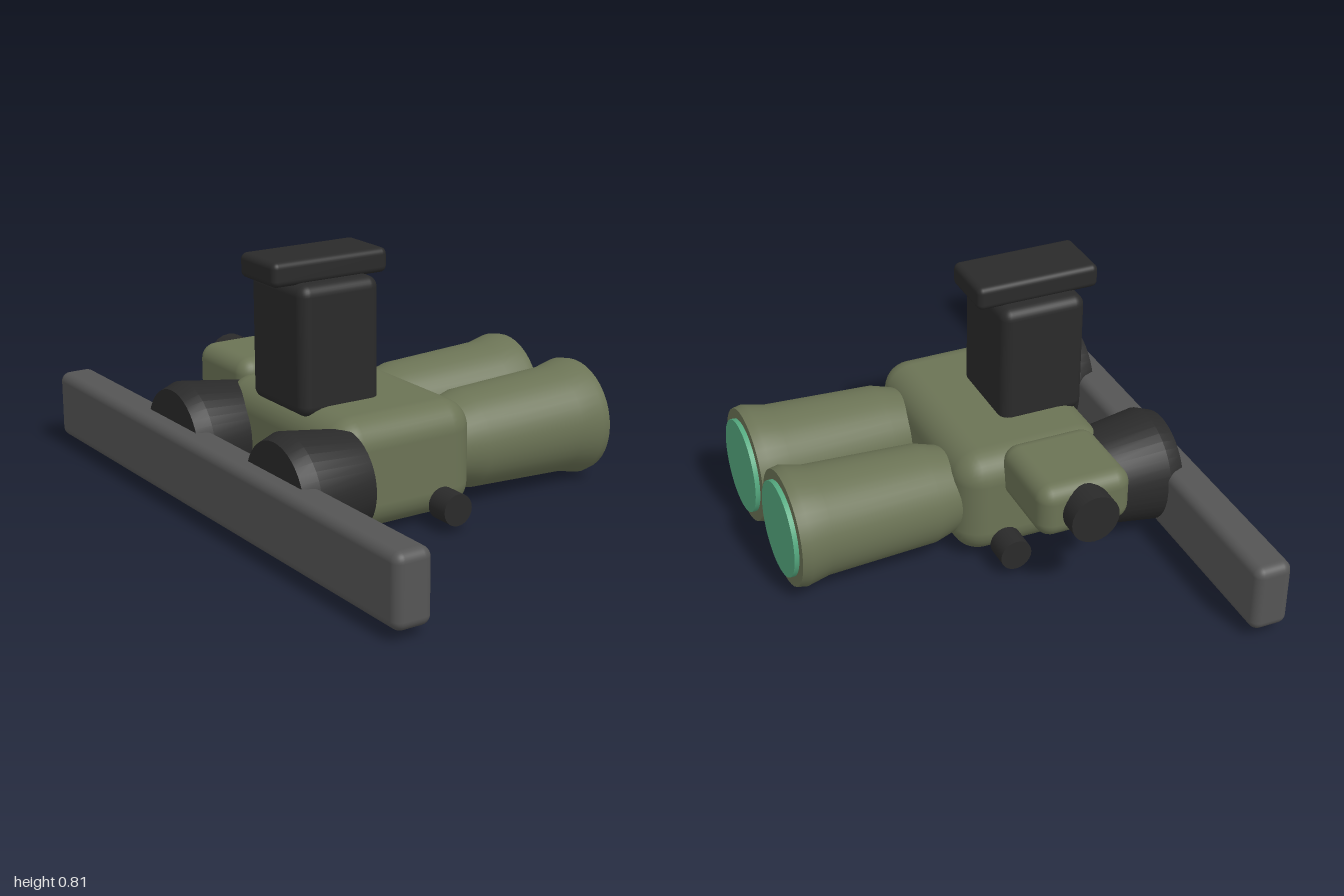
import * as THREE from 'three';
import { RoundedBoxGeometry } from 'three/addons/geometries/RoundedBoxGeometry.js';
import { toCreasedNormals } from 'three/addons/utils/BufferGeometryUtils.js';

const material = (name, color) => {
  const m = new THREE.MeshStandardMaterial({ color });
  m.name = name;
  return m;
};

export function createModel() {
  const olive = material('olive', 0x6b7355);
  const black = material('black', 0x2a2a2a);
  const grey = material('grey', 0x555555);
  const green = material('lensGreen', 0x55aa80);

  const model = new THREE.Group();
  model.name = 'nightVisionGoggles';

  const add = (name, geometry, mat, x, y, z) => {
    const mesh = new THREE.Mesh(geometry, mat);
    mesh.name = name;
    mesh.position.set(x, y, z);
    model.add(mesh);
    return mesh;
  };

  // Rounded block given by its lower and upper corners
  const block = (name, mat, min, max, radius) => {
    const s = max.map((v, i) => v - min[i]);
    const c = max.map((v, i) => (v + min[i]) / 2);
    add(name, new RoundedBoxGeometry(s[0], s[1], s[2], 4, radius), mat, ...c);
  };

  // Closed turned shape along x, from [x, radius] pairs
  const turned = (profile) => {
    const first = profile[0][0], last = profile[profile.length - 1][0];
    const pts = [[first, 0], ...profile, [last, 0]].map(([x, r]) => new THREE.Vector2(r, x));
    const g = new THREE.LatheGeometry(pts, 40).rotateZ(-Math.PI / 2);
    return toCreasedNormals(g, 0.5);
  };

  // Cylinder along z
  const knob = (r, length) => new THREE.CylinderGeometry(r, r, length, 24).rotateX(Math.PI / 2);

  // Central housing and the head strap behind it
  block('housing', olive, [-0.39, 0.02, -0.35], [0.11, 0.37, 0.35], 0.09);
  block('headStrap', grey, [-0.64, 0.035, -1], [-0.52, 0.255, 1], 0.03);

  // Helmet mount
  block('mountPost', black, [-0.387, 0.34, -0.15], [-0.11, 0.742, 0.15], 0.035);
  block('mountPlate', black, [-0.45, 0.735, -0.1], [-0.05, 0.811, 0.1], 0.02);

  // Battery box with its end cap
  block('batteryBox', olive, [-0.33, 0.228, -0.6], [-0.03, 0.402, -0.3], 0.05);
  add('batteryCap', knob(0.077, 0.08), black, -0.175, 0.315, -0.62);

  // Paired optics and adjusters
  const barrel = turned([[0.0, 0.125], [0.09, 0.133], [0.17, 0.156], [0.52, 0.171], [0.59, 0.187], [0.62, 0.181]]);
  const lens = turned([[0.61, 0.149], [0.635, 0.149]]);
  const eyecup = turned([[-0.58, 0.16], [-0.53, 0.178], [-0.33, 0.15]]);
  for (const [side, s] of [['left', -1], ['right', 1]]) {
    add(side + 'Barrel', barrel, olive, 0, 0.193, s * 0.18);
    add(side + 'Lens', lens, green, 0, 0.193, s * 0.18);
    add(side + 'Eyecup', eyecup, black, 0, 0.193, s * 0.303);
    add(side + 'AdjusterKnob', knob(0.05, 0.08), black, -0.03, 0.075, s * 0.398);
  }
  return model;
}
